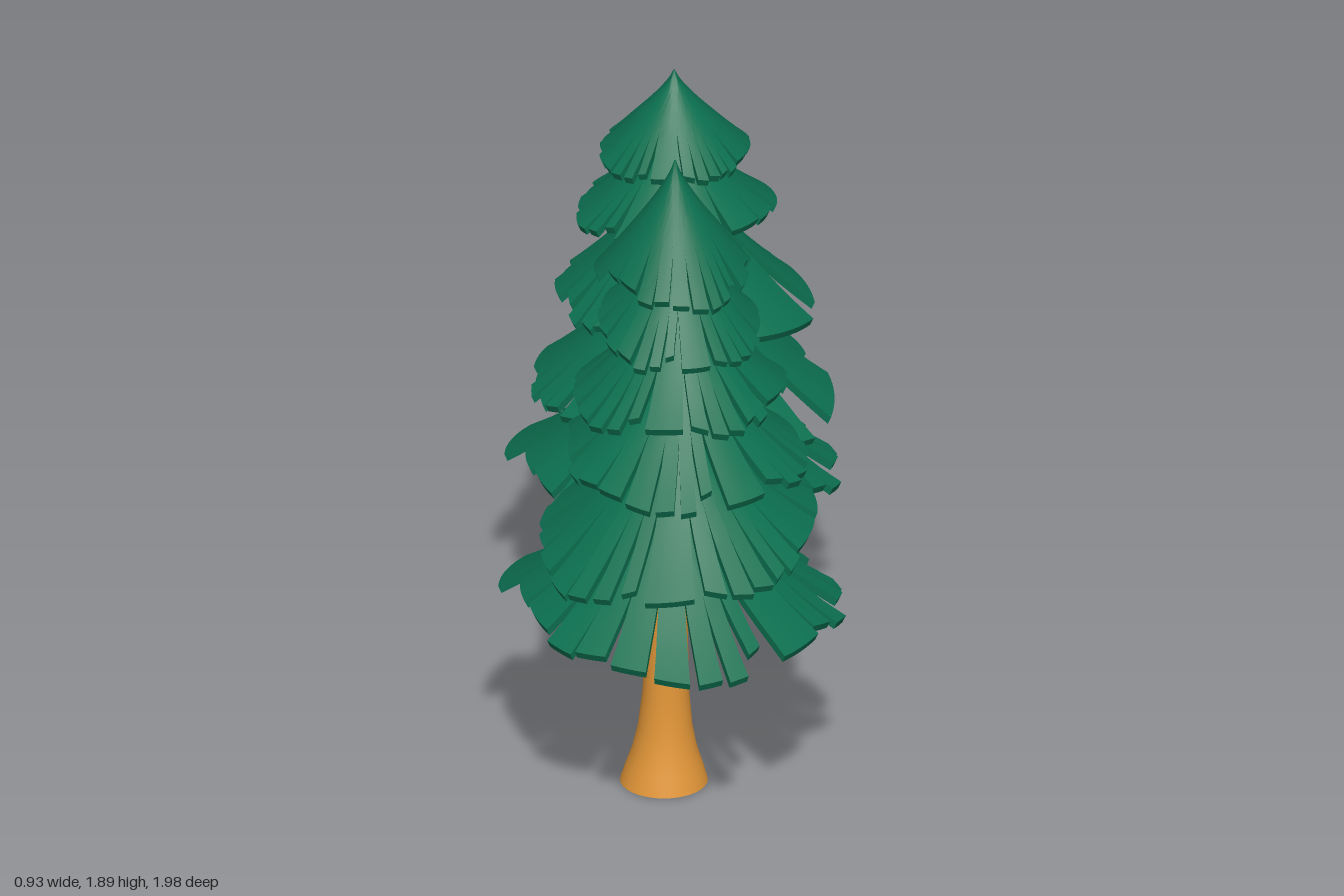
import * as THREE from 'three';
import { mergeGeometries, toCreasedNormals } from 'three/addons/utils/BufferGeometryUtils.js';

const needles = new THREE.MeshStandardMaterial({ color: 0x0c6f4f, side: THREE.DoubleSide });
needles.name = 'needle green';
const bark = new THREE.MeshStandardMaterial({ color: 0xe29638, side: THREE.DoubleSide });
bark.name = 'bark orange';

// Boughs round one tier: start and end angle of the tip in degrees (0 = +x, 90 = +z),
// then the relative length at each of the two corners
const BOUGHS = [
  [-14, -8, 0.94, 0.96], [-6, 2, 0.96, 0.94], [4, 12, 0.97, 0.95], [14, 23, 0.93, 0.9],
  [28, 48, 0.94, 0.95], [54, 60, 0.88, 0.9], [63, 70, 0.95, 0.96], [73, 81, 0.97, 0.98],
  [84, 96, 0.97, 0.95], [99, 112, 0.94, 0.93], [115, 127, 0.91, 0.92], [129, 142, 0.92, 0.91],
  [145, 166, 0.89, 0.87], [168, 189, 0.88, 0.89], [193, 222, 0.98, 1.04], [236, 279, 1.06, 0.98],
  [283, 304, 0.95, 0.93], [306, 331, 0.92, 0.91], [334, 343, 0.93, 0.95],
];

function seeded(seed) {
  return () => (seed = (seed * 16807) % 2147483647) / 2147483647;
}

// How far up a slit reaches: wide gaps cut deep, narrow ones only nick the rim
const slitStart = (gap) => Math.max(0.2, 0.72 - gap * 0.035);

// One bough: a curved slab from the trunk to the tip, lofted from closed cross-sections
function boughGeometry(index, tier, random) {
  const [a0, a1, len0, len1] = BOUGHS[index];
  const n = BOUGHS.length;
  const gap0 = a0 - (index ? BOUGHS[index - 1][1] : BOUGHS[n - 1][1] - 360);
  const gap1 = (index < n - 1 ? BOUGHS[index + 1][0] : BOUGHS[0][0] + 360) - a1;
  const steps = Math.max(2, Math.ceil((a1 - a0) / 4));
  const rows = 12;
  const droop = (a1 - a0 < 14 ? 0.07 : 0.03) * random() * tier.height;
  const pos = [], idx = [];

  for (let j = 0; j <= rows; j++) {
    const t = j / rows;
    const open0 = THREE.MathUtils.smoothstep(t, slitStart(gap0), 1);
    const open1 = THREE.MathUtils.smoothstep(t, slitStart(gap1), 1);
    const start = a0 - (gap0 / 2) * (1 - open0);
    const end = a1 + (gap1 / 2) * (1 - open1);
    // Upper side from start to end, then underside back again
    for (const under of [0, 1]) {
      for (let i = 0; i <= steps; i++) {
        const f = (under ? steps - i : i) / steps;
        const along = t * (1 + (len0 + (len1 - len0) * f - 1) * t * t);
        const r = 0.002 + tier.radius * Math.pow(along, tier.power);
        const y = -tier.height * along - droop * THREE.MathUtils.smoothstep(t, 0.5, 1);
        const a = THREE.MathUtils.degToRad(start + (end - start) * f + tier.turn);
        const rr = under ? Math.max(0.001, r - 0.009) : r;
        const x = Math.cos(a) * rr, z = Math.sin(a) * rr;
        pos.push(x, y - under * 0.02 + tier.tiltX * x + tier.tiltZ * z, z);
      }
    }
  }
  const ring = 2 * (steps + 1);
  for (let j = 0; j < rows; j++) {
    for (let i = 0; i < ring; i++) {
      const k = (i + 1) % ring;
      const p = j * ring + i, q = j * ring + k;
      idx.push(p, q, q + ring, p, q + ring, p + ring);
    }
  }
  // Tip face
  const last = rows * ring;
  for (let i = 0; i < steps; i++) {
    const p = last + i, q = p + 1, pu = last + ring - 1 - i, qu = pu - 1;
    idx.push(p, q, qu, p, qu, pu);
  }
  const g = new THREE.BufferGeometry();
  g.setAttribute('position', new THREE.Float32BufferAttribute(pos, 3));
  g.setIndex(idx);
  return g;
}

function makeTier([x, top, z, radius, height, power, turn, tiltX, tiltZ], seed) {
  const random = seeded(seed);
  const tier = { radius, height, power, turn, tiltX, tiltZ };
  const parts = BOUGHS.map((_, i) => boughGeometry(i, tier, random));
  const mesh = new THREE.Mesh(toCreasedNormals(mergeGeometries(parts), 0.7), needles);
  mesh.position.set(x, top, z);
  return mesh;
}

// Flared open trunk, sheared so that it leans from its foot to its top
function makeTrunk(scale, top, foot, head) {
  const profile = [[0.118, 0], [0.103, 0.05], [0.087, 0.1], [0.073, 0.17], [0.063, 0.27], [0.057, 0.42],
    [0.052, 0.65], [0.043, 1], [0.03, 1.35], [0.012, top]];
  const pts = profile.filter(([, y]) => y <= top).map(([r, y]) => new THREE.Vector2(r * scale, y));
  const g = new THREE.LatheGeometry(pts, 32);
  const p = g.attributes.position;
  for (let i = 0; i < p.count; i++) {
    const f = p.getY(i) / top;
    p.setX(i, p.getX(i) + foot[0] + (head[0] - foot[0]) * f);
    p.setZ(i, p.getZ(i) + foot[1] + (head[1] - foot[1]) * f);
  }
  const mesh = new THREE.Mesh(g, bark);
  mesh.name = 'trunk';
  return mesh;
}

function makeTree(name, trunk, tiers, seed) {
  const tree = new THREE.Group();
  tree.name = name;
  tree.add(trunk);
  tiers.forEach((t, i) => {
    const mesh = makeTier(t, seed + i * 971);
    mesh.name = 'branchTier' + (i + 1);
    tree.add(mesh);
  });
  return tree;
}

export function createModel() {
  const model = new THREE.Group();
  model.name = 'pineTrees';

  // Tiers from the top: x, top y, z, radius, height, profile power, turn, tilt in x, tilt in z
  model.add(makeTree('tallPine', makeTrunk(1, 1.6, [-0.02, 0.47], [0.01, 0.535]), [
    [0.01, 1.89, 0.54, 0.215, 0.33, 1.25, -20, 0, -0.12],
    [0.02, 1.7, 0.51, 0.245, 0.32, 1.4, 40, -0.08, -0.13],
    [0.02, 1.57, 0.52, 0.32, 0.38, 1.55, 60, 0, 0.04],
    [0.025, 1.41, 0.515, 0.37, 0.42, 1.6, 20, 0, 0],
    [0.015, 1.22, 0.515, 0.42, 0.46, 1.6, 55, 0.06, -0.1],
    [0, 1.04, 0.515, 0.49, 0.5, 1.6, 0, 0, 0],
  ], 11));

  model.add(makeTree('shortPine', makeTrunk(0.89, 1.4, [-0.02, -0.565], [0.01, -0.525]), [
    [0.01, 1.63, -0.52, 0.22, 0.24, 1.25, 60, 0, 0],
    [0.01, 1.51, -0.53, 0.28, 0.3, 1.45, 80, 0, 0],
    [0.015, 1.38, -0.535, 0.35, 0.42, 1.45, 140, 0, 0],
    [0.015, 1.16, -0.52, 0.42, 0.46, 1.5, 160, 0, 0],
    [0.005, 0.92, -0.515, 0.475, 0.49, 1.6, 0, 0, 0],
  ], 77));
  return model;
}
